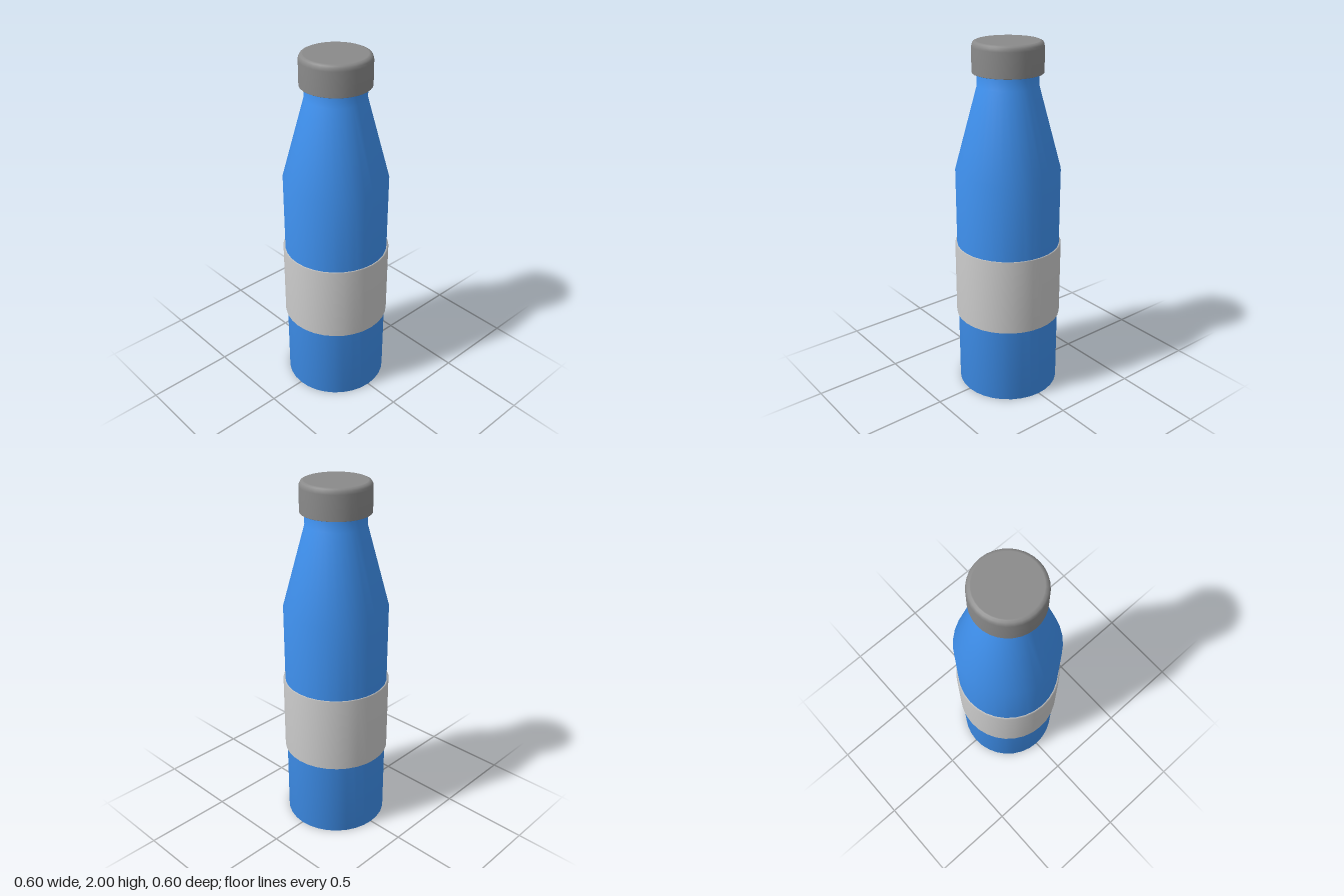
import * as THREE from 'three';

const SIDES = 32;

// Revolve a profile of [radius, height] points, listed from bottom to top.
function turned(name, color, profile) {
  const points = profile.map(([r, y]) => new THREE.Vector2(r, y));
  const mesh = new THREE.Mesh(
    new THREE.LatheGeometry(points, SIDES),
    new THREE.MeshStandardMaterial({ color })
  );
  mesh.name = name;
  return mesh;
}

export function createModel() {
  const bottle = new THREE.Group();
  bottle.name = 'bottle';

  // Closed base, straight wall, tapered shoulder and short neck
  bottle.add(turned('body', 0x4093f2, [
    [0, 0], [0.288, 0], [0.288, 1.315], [0.164, 1.77], [0.164, 1.86],
  ]));

  // Sleeve wrapped around the lower body
  bottle.add(turned('labelBand', 0xcccccc, [
    [0.286, 0.445], [0.299, 0.445], [0.299, 0.878], [0.286, 0.878],
  ]));

  // Cap with a softly rounded top edge and a flat underside
  bottle.add(turned('cap', 0x8a8a8a, [
    [0, 1.836], [0.188, 1.836], [0.19, 1.838], [0.19, 1.97],
    [0.187, 1.985], [0.181, 1.995], [0.17, 2], [0.165, 2], [0, 2],
  ]));

  return bottle;
}
